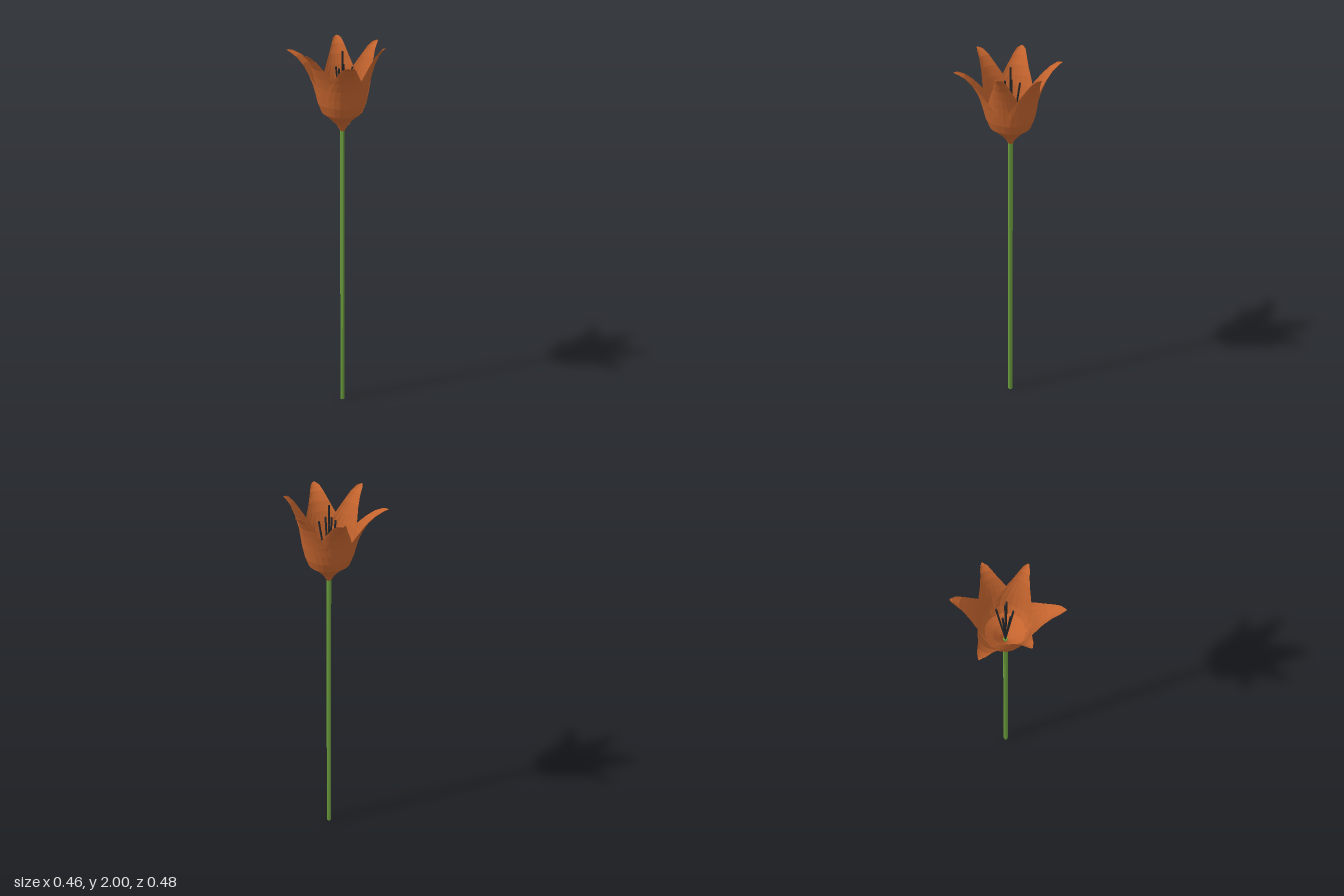
import * as THREE from 'three';

const CX = -0.004, CZ = -0.01; // flower axis

const petalMat = new THREE.MeshStandardMaterial({ color: 0xc4642e, flatShading: true, side: THREE.DoubleSide });
const stemMat = new THREE.MeshStandardMaterial({ color: 0x6b9c3c, flatShading: true });
const darkMat = new THREE.MeshStandardMaterial({ color: 0x25292c, flatShading: true });

// Petal cross-sections from base to tip: radius, height, half angle in degrees
const SECTIONS = [
  [0.008, 1.555, 60], [0.028, 1.59, 60], [0.06, 1.625, 58], [0.102, 1.66, 56],
  [0.121, 1.71, 57], [0.132, 1.76, 52], [0.143, 1.81, 41], [0.158, 1.86, 28],
  [0.178, 1.91, 17], [0.206, 1.955, 9.5], [0.235, 1.982, 5], [0.245, 1.988, 2.5],
];

// A cupped petal wrapped about the axis, its tip placed at (x, y, z)
function petal(x, y, z, inner) {
  const rows = SECTIONS.length - 1, cols = 8;
  const angle = Math.atan2(x - CX, z - CZ);
  const tipR = Math.hypot(x - CX, z - CZ);
  const geo = new THREE.PlaneGeometry(1, 1, cols, rows);
  const pos = geo.attributes.position;
  for (let i = 0; i < pos.count; i++) {
    const row = Math.floor(i / (cols + 1));
    const u = (i % (cols + 1)) / cols * 2 - 1;
    const [r0, h0, half] = SECTIONS[row];
    const t = Math.max(0, (h0 - 1.7) / 0.288) ** 2;
    const layer = inner ? 0.96 : 1.02;
    // Edges lean slightly inward, giving the petal a rounded back
    const r = (r0 * layer * (1 - t) + r0 * tipR / 0.245 * t) * (1 - 0.05 * u * u);
    const h = h0 + (y - 1.988) * t;
    const a = angle + u * THREE.MathUtils.degToRad(half);
    pos.setXYZ(i, CX + r * Math.sin(a), h, CZ + r * Math.cos(a));
  }
  geo.computeVertexNormals();
  return new THREE.Mesh(geo, petalMat);
}

// A straight rod between two points
function rod(a, b, r0, r1, sides, mat) {
  const dir = b.clone().sub(a);
  const mesh = new THREE.Mesh(new THREE.CylinderGeometry(r1, r0, dir.length(), sides), mat);
  mesh.position.copy(a).add(b).multiplyScalar(0.5);
  mesh.quaternion.setFromUnitVectors(new THREE.Vector3(0, 1, 0), dir.normalize());
  return mesh;
}

export function createModel() {
  const flower = new THREE.Group();
  flower.name = 'flower';
  const add = (mesh, name) => { mesh.name = name; flower.add(mesh); };
  const at = (x, y, z) => new THREE.Vector3(x, y, z);

  // Stem
  add(rod(at(CX, 0, CZ), at(CX, 1.57, CZ), 0.012, 0.012, 6, stemMat), 'stem');

  // Three inner and three outer petals
  const inner = [[0, 1.992, 0.237], [0.178, 2, -0.13], [-0.215, 1.982, -0.147]];
  const outer = [[-0.004, 1.985, -0.24], [0.23, 1.962, 0.135], [-0.228, 1.96, 0.163]];
  inner.forEach((p, i) => add(petal(...p, true), `innerPetal${i + 1}`));
  outer.forEach((p, i) => add(petal(...p, false), `outerPetal${i + 1}`));

  // Pistil and spreading stamens
  const base = at(CX, 1.57, CZ);
  add(rod(base, at(CX, 1.97, CZ), 0.005, 0.005, 6, darkMat), 'pistil');
  const tips = [[-0.035, -0.043], [0.024, -0.051], [0.03, 0.003], [0.006, 0.021], [-0.029, 0.011]];
  tips.forEach(([x, z], i) => add(rod(base, at(x, 1.89, z), 0.004, 0.005, 6, darkMat), `stamen${i + 1}`));

  return flower;
}
